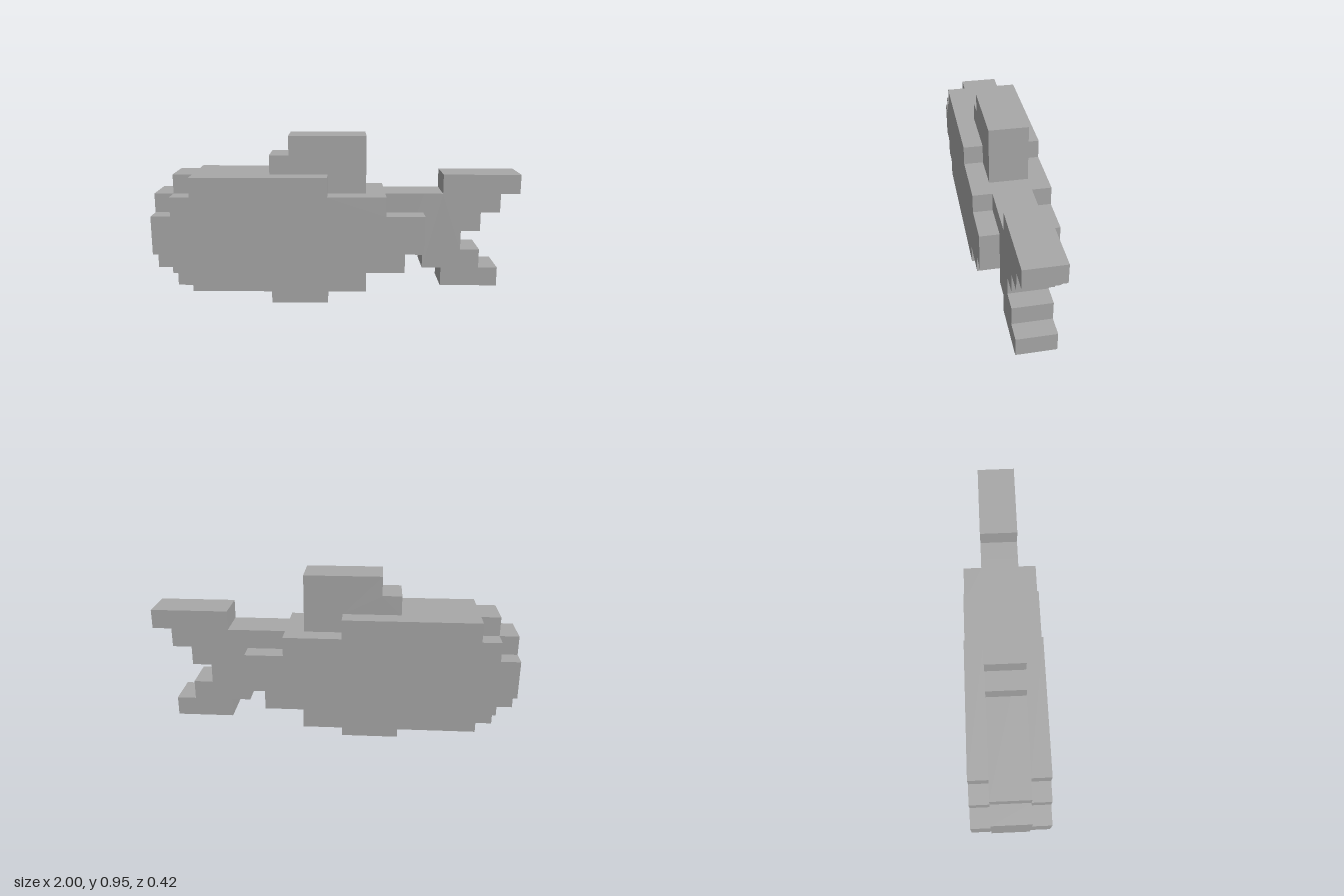
import * as THREE from 'three';

// One block of the grid: 19 blocks span the 2-unit length
const U = 2 / 19;

const grey = new THREE.MeshStandardMaterial({ color: 0xa8a8a8 });
grey.name = 'grey';

// Stepped slab: rows of [first, last] block columns, stacked upward from baseRow
function steppedSlab(name, baseRow, rows, zFrom, zTo) {
  const points = [];
  const add = (col, row) => points.push(new THREE.Vector2(col * U - 1, row * U));
  rows.forEach(([, end], i) => {
    add(end, baseRow + i);
    add(end, baseRow + i + 1);
  });
  for (let i = rows.length - 1; i >= 0; i--) {
    add(rows[i][0], baseRow + i + 1);
    add(rows[i][0], baseRow + i);
  }
  // Drop the corners shared by rows of equal extent
  const outline = points.filter((p, i) => {
    const a = points[(i + points.length - 1) % points.length];
    const b = points[(i + 1) % points.length];
    const same = p.distanceTo(b) < 1e-6;
    const twin = p.distanceTo(a) < 1e-6;
    return !same && !twin;
  });
  const geometry = new THREE.ExtrudeGeometry(new THREE.Shape(outline), {
    depth: (zTo - zFrom) * U, bevelEnabled: false,
  });
  geometry.translate(0, 0, zFrom * U);
  const mesh = new THREE.Mesh(geometry, grey);
  mesh.name = name;
  return mesh;
}

export function createModel() {
  const fish = new THREE.Group();
  fish.name = 'blockFish';

  // Middle of the body, two blocks thick
  fish.add(steppedSlab('bodyCore', 1,
    [[1, 11], [0, 13], [0, 14], [0, 14], [0, 14], [1, 9]], -1, 1));

  // Rounded-off flanks, one block thick on each side
  const flank = [[2, 11], [1, 13], [0, 14], [0, 14], [1, 12], [2, 9]];
  fish.add(steppedSlab('leftFlank', 1, flank, 1, 2));
  fish.add(steppedSlab('rightFlank', 1, flank, -2, -1));

  // Fins
  fish.add(steppedSlab('dorsalFin', 6, [[9, 11], [6, 11], [7, 11]], -1, 1));
  fish.add(steppedSlab('bellyFin', 0, [[6, 9]], -1, 1));

  // Forked tail
  fish.add(steppedSlab('tail', 1,
    [[15, 18], [14, 17], [14, 16], [14, 17], [14, 18], [15, 19]], -1, 1));

  return fish;
}
